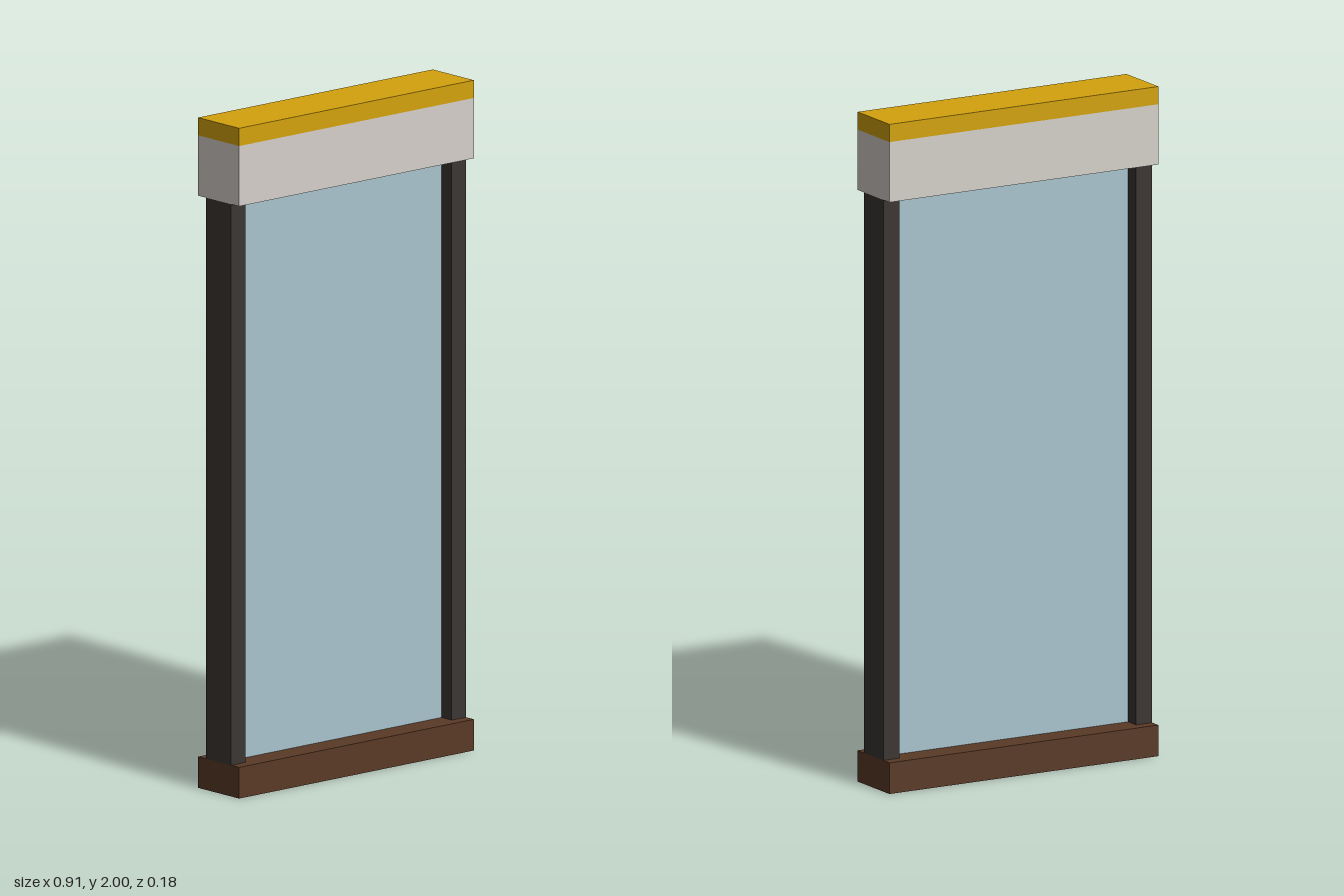
import * as THREE from 'three';

const WIDTH = 0.91, DEPTH = 0.18;
const SILL_TOP = 0.093, HEADER_BOTTOM = 1.767, CAP_BOTTOM = 1.947, TOP = 2;
const POST_WIDTH = 0.055, POST_DEPTH = 0.11;

export function createModel() {
  const model = new THREE.Group();
  model.name = 'window';

  const paint = (color) => new THREE.MeshStandardMaterial({ color });
  const wood = paint(0x5a3a26);
  const frame = paint(0x3b3633);
  const glass = paint(0xa9c4cd);
  const plaster = paint(0xd5d0c9);
  const gold = paint(0xd4a20d);

  // A box spanning y0..y1, centred on z = 0
  const addBox = (name, material, width, depth, y0, y1, x = 0) => {
    const mesh = new THREE.Mesh(new THREE.BoxGeometry(width, y1 - y0, depth), material);
    mesh.name = name;
    mesh.position.set(x, (y0 + y1) / 2, 0);
    model.add(mesh);
  };

  // Sill, header and its cap share one footprint
  addBox('sill', wood, WIDTH, DEPTH, 0, SILL_TOP);
  addBox('header', plaster, WIDTH, DEPTH, HEADER_BOTTOM, CAP_BOTTOM);
  addBox('cap', gold, WIDTH, DEPTH, CAP_BOTTOM, TOP);

  // Side posts, flush with the ends of the sill
  for (const [name, side] of [['leftPost', 1], ['rightPost', -1]]) {
    addBox(name, frame, POST_WIDTH, POST_DEPTH, SILL_TOP, HEADER_BOTTOM, side * (WIDTH - POST_WIDTH) / 2);
  }

  // Thin pane between the posts
  addBox('glassPane', glass, WIDTH - 2 * POST_WIDTH, 0.02, SILL_TOP, HEADER_BOTTOM);

  return model;
}
